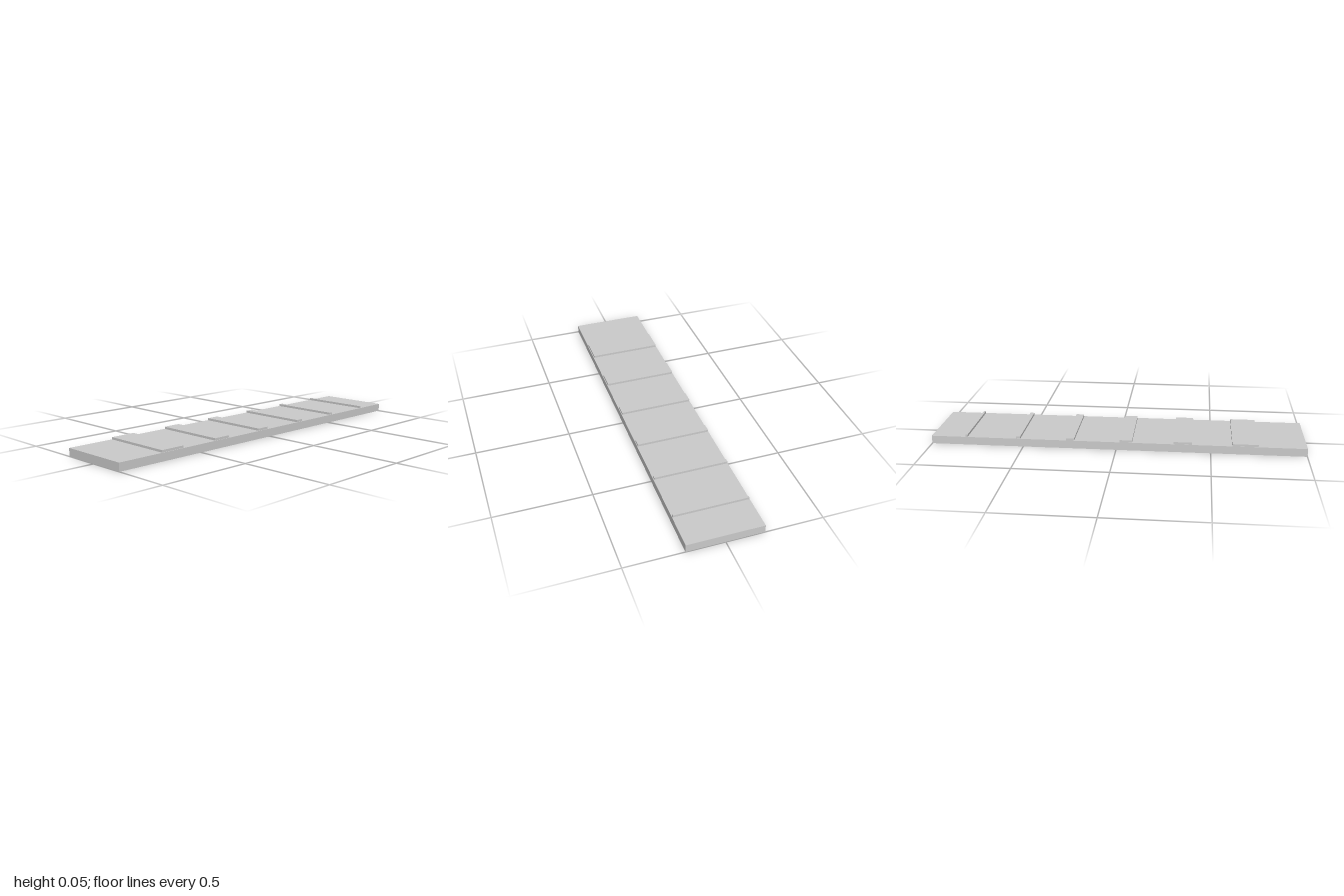
import * as THREE from 'three';

const BASE_HEIGHT = 0.043;
const TOP = 0.055;

export function createModel() {
  const group = new THREE.Group();
  const material = new THREE.MeshStandardMaterial({ color: 0xcccccc, flatShading: true });

  const addBox = (name, width, height, depth, x, y, z) => {
    const mesh = new THREE.Mesh(new THREE.BoxGeometry(width, height, depth), material);
    mesh.name = name;
    mesh.position.set(x, y, z);
    group.add(mesh);
  };

  // Flat base plank
  addBox('basePlate', 0.396, BASE_HEIGHT, 2, 0, BASE_HEIGHT / 2, 0);

  // Raised cross strips, narrowing from front to back: [front z, back z]
  const strips = [
    [0.747, 0.611], [0.402, 0.305], [0.085, 0.018],
    [-0.224, -0.268], [-0.515, -0.538], [-0.803, -0.814],
  ];
  const sink = 0.005; // strips are set slightly into the plank
  strips.forEach(([front, back], i) => {
    const height = TOP - BASE_HEIGHT + sink;
    addBox(`crossStrip${i + 1}`, 0.39, height, front - back, -0.001, TOP - height / 2, (front + back) / 2);
  });

  return group;
}
